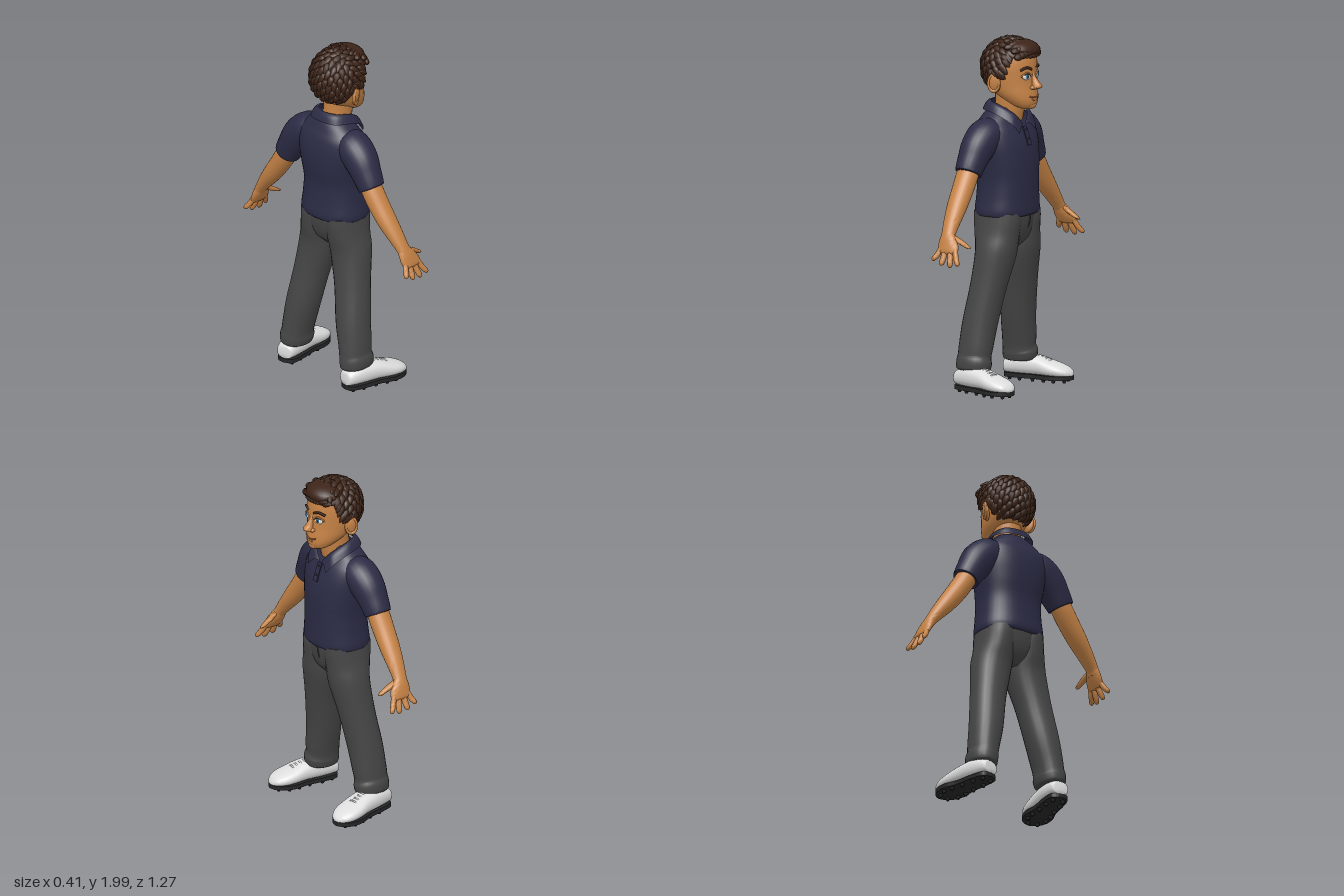
import * as THREE from 'three';
import { mergeGeometries, toCreasedNormals } from 'three/addons/utils/BufferGeometryUtils.js';
import { ParametricGeometry } from 'three/addons/geometries/ParametricGeometry.js';

const V = (x, y, z) => new THREE.Vector3(x, y, z);
const material = (name, color, side = THREE.FrontSide) =>
  Object.assign(new THREE.MeshStandardMaterial({ color, side }), { name });

// Smooth skin over oval rings [x, y, z, radiusAcross, radiusZ]; pow > 2 makes the rings boxier.
function loft(rings, { seg = 24, sub = 4, pow = 2 } = {}) {
  const path = new THREE.CatmullRomCurve3(rings.map(r => V(r[0], r[1], r[2])), false, 'catmullrom');
  const size = new THREE.CatmullRomCurve3(rings.map(r => V(r[3], r[4], 0)), false, 'catmullrom');
  const rows = (rings.length - 1) * sub, pos = [], idx = [];
  const sp = v => Math.sign(v) * Math.abs(v) ** (2 / pow);
  for (let i = 0; i <= rows; i++) {
    const p = path.getPoint(i / rows), s = size.getPoint(i / rows);
    const d = path.getTangent(i / rows).setZ(0).normalize();
    for (let j = 0; j < seg; j++) {
      const a = j / seg * Math.PI * 2, u = sp(Math.cos(a)) * s.x;
      pos.push(p.x + d.y * u, p.y - d.x * u, p.z + sp(Math.sin(a)) * s.y);
      if (i < rows) {
        const k = (j + 1) % seg, A = i * seg + j, B = i * seg + k;
        idx.push(A, A + seg, B, B, A + seg, B + seg);
      }
    }
  }
  // The winding rule is (along x around), so flip to face outward
  for (let i = 0; i < idx.length; i += 3) [idx[i + 1], idx[i + 2]] = [idx[i + 1], idx[i + 2]];
  const n = pos.length / 3, a = rings[0], b = rings[rings.length - 1];
  pos.push(a[0], a[1], a[2], b[0], b[1], b[2]);
  for (let j = 0; j < seg; j++) {
    const k = (j + 1) % seg, last = rows * seg;
    idx.push(n, j, k, n + 1, last + k, last + j);
  }
  const g = new THREE.BufferGeometry();
  g.setAttribute('position', new THREE.Float32BufferAttribute(pos, 3));
  g.setIndex(idx);
  return toCreasedNormals(g, 1.0);
}

export function createModel() {
  const skin = material('skin', 0xc68346), shirt = material('shirt navy', 0x2b2b45, THREE.DoubleSide);
  const trouser = material('trouser grey', 0x464646), white = material('shoe white', 0xdedede);
  const dark = material('sole black', 0x262628), hair = material('hair brown', 0x3d2418);
  const eyeWhite = material('eye white', 0xf2f0ec), blue = material('iris blue', 0x3f759c);
  const lip = material('lip', 0xa9633c);

  const model = new THREE.Group(), person = new THREE.Group();
  person.name = 'person';
  person.rotation.y = Math.PI / 2; // modelled facing +z, turned to face +x
  model.add(person);
  const add = (name, geo, mat, parent = person) => {
    const m = new THREE.Mesh(geo, mat);
    m.name = name;
    parent.add(m);
    return m;
  };
  const ball = (name, mat, p, r, rot = [0, 0, 0]) => {
    const m = add(name, new THREE.SphereGeometry(1, 20, 14), mat);
    m.position.set(...p); m.scale.set(...r); m.rotation.set(...rot);
    return m;
  };
  const tube = (name, mat, pts, r, parent) =>
    add(name, new THREE.TubeGeometry(new THREE.CatmullRomCurve3(pts.map(p => V(...p))), 14, r, 6), mat, parent);

  // Head and neck
  add('head', loft([[0, 1.594, .1, .03, .03], [0, 1.61, .09, .062, .058], [0, 1.64, .064, .09, .094],
    [0, 1.68, .03, .113, .125], [0, 1.73, .003, .126, .145], [0, 1.78, 0, .131, .146], [0, 1.84, 0, .132, .147],
    [0, 1.9, 0, .122, .138], [0, 1.95, 0, .09, .105], [0, 1.972, 0, .045, .05]], { seg: 36 }), skin);
  add('neck', loft([[0, 1.46, -.045, .08, .088], [0, 1.53, -.028, .078, .088], [0, 1.6, -.012, .077, .087],
    [0, 1.7, -.005, .085, .09]]), skin);
  add('nose', loft([[0, 1.708, .152, .02, .018], [0, 1.715, .165, .027, .026], [0, 1.73, .17, .024, .03],
    [0, 1.755, .153, .016, .024], [0, 1.79, .138, .012, .014], [0, 1.82, .132, .01, .01]], { seg: 16 }), skin);
  tube('mouth', lip, [[-.046, 1.672, .146], [-.025, 1.664, .154], [0, 1.661, .158], [.025, 1.664, .154], [.046, 1.672, .146]], .0045);
  ball('lowerLip', skin, [0, 1.652, .15], [.028, .009, .014]);
  ball('chin', skin, [0, 1.617, .128], [.034, .024, .028]);

  for (const s of [-1, 1]) {
    ball('nostril', skin, [s * .022, 1.718, .153], [.013, .011, .016]);
    ball('ear', skin, [s * .145, 1.742, -.018], [.017, .054, .034], [0, -s * .4, -s * .15]);
    const rim = add('earRim', new THREE.TorusGeometry(.03, .007, 8, 24), skin);
    rim.position.set(s * .153, 1.745, -.02);
    rim.scale.y = 1.5;
    rim.rotation.set(0, s * 1.15, 0);
    // Eyes and brows
    ball('eyeWhite', eyeWhite, [s * .053, 1.783, .133], [.027, .018, .009], [0, s * .33, 0]);
    ball('iris', blue, [s * .052, 1.784, .139], [.0125, .014, .006], [0, s * .3, 0]);
    ball('pupil', dark, [s * .052, 1.784, .143], [.006, .007, .004]);
    tube('eyelid', skin, [[s * .024, 1.786, .143], [s * .05, 1.804, .139], [s * .083, 1.786, .118]], .005);
    tube('lash', hair, [[s * .024, 1.782, .145], [s * .052, 1.799, .142], [s * .084, 1.781, .119]], .0025);
    tube('eyebrow', hair, [[s * .022, 1.822, .146], [s * .055, 1.834, .138], [s * .09, 1.82, .115]], .0075);
  }

  // Hair cap with a hairline that drops from forehead to nape
  const centre = V(0, 1.82, -.005), radii = V(.151, .164, .17);
  const step = THREE.MathUtils.smoothstep;
  const hairline = a => 1.08 + .75 * step(a, 1.05, 1.4) + .6 * step(a, 1.75, 2.15);
  const onScalp = (phi, theta, k = 1) => V(Math.sin(theta) * Math.sin(phi), Math.cos(theta), Math.sin(theta) * Math.cos(phi))
    .multiplyScalar(k).multiply(radii).add(centre);
  add('hairCap', new ParametricGeometry((u, v, t) => {
    const phi = Math.PI - u * 2 * Math.PI, w = Math.min(1, v / .95);
    t.copy(onScalp(phi, .01 + w * hairline(Math.abs(phi)), v > .96 ? .84 : 1));
  }, 48, 20), hair);
  ball('quiffBase', hair, [.008, 1.925, .065], [.112, .055, .092], [.05, 0, -.06]);

  // Tapered locks lying along the scalp
  let seed = 7;
  const rnd = () => (seed = (seed * 16807) % 2147483647) / 2147483647;
  const locks = [];
  const lock = (p, n, flow, w, h, l) => {
    const g = new THREE.SphereGeometry(1, 8, 7).rotateX(Math.PI / 2), q = g.attributes.position;
    for (let i = 0; i < q.count; i++) {
      const z = q.getZ(i), k = 1 - .45 * z;
      q.setXYZ(i, q.getX(i) * k * w, q.getY(i) * k * h + .3 * h * z, z * l);
    }
    const f = flow.clone().addScaledVector(n, -flow.dot(n)).normalize();
    const m = new THREE.Matrix4().makeBasis(n.clone().cross(f), n, f).setPosition(p);
    g.applyMatrix4(m);
    g.computeVertexNormals();
    locks.push(g);
  };
  for (let i = 0; i < 190; i++) {
    const phi = i * 2.39996 % (2 * Math.PI) - Math.PI, limit = hairline(Math.abs(phi)) - .1;
    const theta = Math.min(limit, Math.acos(1 - 1.8 * (i + .5) / 190));
    const p = onScalp(phi, theta, .985), n = p.clone().sub(centre).divide(radii).divide(radii).normalize();
    const flow = V(n.x * .3 + .35 + (rnd() - .5) * .5, -.9, n.z < -.2 ? -.1 : .8);
    lock(p, n, flow, .019, .012 + rnd() * .004, .034);
  }
  for (let i = 0; i < 27; i++) {
    const x = -.09 + (i % 9) * .0235, row = Math.floor(i / 9);
    const p = V(x, [1.918, 1.948, 1.966][row] - x * x * 2.2, [.135, .115, .07][row] - x * x * 2.5);
    lock(p, V(x * 3, .45 + row * .5, .9 - row * .3).normalize(), V(.7, .35 - row * .3, .4 + rnd() * .3), .019, .016, .036);
  }
  add('hairLocks', mergeGeometries(locks), hair);

  // Polo shirt
  add('shirtBody', loft([[0, .992, -.03, .185, .148], [0, 1.0, -.03, .197, .157], [0, 1.03, -.03, .199, .16],
    [0, 1.1, -.027, .191, .156], [0, 1.2, -.025, .187, .154], [0, 1.3, -.033, .199, .16], [0, 1.4, -.042, .212, .155],
    [0, 1.48, -.05, .208, .134], [0, 1.53, -.054, .172, .106], [0, 1.57, -.05, .12, .09], [0, 1.6, -.035, .085, .078]],
    { seg: 40, pow: 2.3 }), shirt);
  const front = [[.006, 1.5, .082], [.06, 1.565, .06], [.088, 1.612, -.02], [.07, 1.628, -.09], [0, 1.63, -.115]];
  const outer = [[.08, 1.462, .108], [.115, 1.52, .07], [.137, 1.57, -.025], [.098, 1.582, -.128], [0, 1.582, -.152]];
  const whole = pts => new THREE.CatmullRomCurve3([...pts.map(p => V(...p)),
    ...pts.slice(0, -1).reverse().map(([x, y, z]) => V(-x, y, z))], false, 'catmullrom');
  const top = whole(front), edge = whole(outer);
  add('collar', new ParametricGeometry((u, v, t) => {
    t.lerpVectors(top.getPoint(u), edge.getPoint(u), v);
    t.y += .02 * Math.sin(v * Math.PI);
  }, 40, 5), shirt);
  const placket = add('placket', new THREE.BoxGeometry(.034, .11, .008), shirt);
  placket.position.set(0, 1.44, .102);
  placket.rotation.x = -.34;
  for (const y of [1.475, 1.425]) ball('button', dark, [0, y, .107 - (y - 1.44) * .35], [.006, .006, .004]);

  // Trouser hips
  add('trouserHips', loft([[0, .815, -.025, .05, .07], [0, .86, -.028, .15, .11], [0, .93, -.03, .192, .134],
    [0, 1.02, -.03, .192, .147]], { pow: 2.2 }), trouser);
  tube('fly', trouser, [[.012, 1.0, .116], [.014, .94, .106], [0, .885, .084]], .004);

  for (const s of [-1, 1]) {
    const limb = (name, rings, mat, opt) => add(name, loft(rings.map(([x, ...r]) => [x * s, ...r]), opt), mat);
    limb('sleeve', [[.1, 1.475, -.055, .07, .085], [.17, 1.452, -.06, .096, .1], [.235, 1.395, -.066, .1, .096],
      [.285, 1.325, -.072, .086, .084], [.322, 1.262, -.075, .076, .075], [.325, 1.257, -.075, .068, .068]], shirt);
    limb('arm', [[.28, 1.33, -.075, .055, .06], [.335, 1.24, -.076, .058, .064], [.385, 1.165, -.074, .057, .062],
      [.445, 1.085, -.07, .052, .058], [.505, 1.01, -.063, .041, .049], [.553, .945, -.055, .03, .042],
      [.567, .918, -.045, .028, .052]], skin);
    limb('palm', [[.55, .95, -.054, .028, .04], [.567, .92, -.044, .028, .055], [.583, .885, -.034, .024, .066],
      [.597, .855, -.03, .018, .062], [.602, .845, -.03, .008, .045]], skin);
    // Four spread fingers: [root z, tip z, tip height]
    for (const [a, b, y] of [[-.078, -.102, .806], [-.047, -.053, .784], [-.014, .002, .778], [.014, .05, .79]])
      limb('finger', [[.59, .874, a, .014, .016], [.607, (.874 + y) / 2, (a + b) / 2, .015, .0175],
        [.624, y + .012, b, .013, .0155], [.629, y, b + (b - a) * .1, .006, .007]], skin, { seg: 12 });
    limb('thumb', [[.56, .942, -.03, .02, .026], [.553, .918, .015, .019, .028], [.549, .897, .052, .016, .024],
      [.547, .884, .074, .012, .016], [.546, .879, .08, .005, .007]], skin, { seg: 12 });

    limb('trouserLeg', [[.234, .128, -.1, .07, .09], [.233, .138, -.1, .079, .1], [.23, .175, -.098, .084, .103],
      [.224, .205, -.1, .08, .097], [.216, .26, -.095, .084, .098], [.19, .4, -.083, .094, .099],
      [.155, .6, -.052, .1, .101], [.12, .78, -.027, .112, .115], [.104, .88, -.03, .104, .13],
      [.096, .96, -.03, .1, .142], [.094, 1.01, -.03, .097, .143]], trouser, { pow: 2.15 });
    tube('pocketSeam', trouser, [[s * .115, 1.0, .095], [s * .15, .955, .068], [s * .19, .925, .015]], .004);

    // Shoe with spiked sole, toes turned out
    const shoe = new THREE.Group();
    shoe.name = s > 0 ? 'leftShoe' : 'rightShoe';
    shoe.position.x = s * .272;
    shoe.rotation.y = s * .18;
    person.add(shoe);
    add('shoeUpper', loft([[0, -.203, -.075, .03, .024], [0, -.19, -.085, .052, .042], [0, -.1, -.096, .068, .057],
      [0, 0, -.093, .073, .054], [0, .08, -.079, .081, .043], [0, .14, -.069, .075, .034], [0, .185, -.06, .05, .022],
      [0, .205, -.052, .018, .009]], { pow: 2.4 }).rotateX(Math.PI / 2), white, shoe);
    const outline = new THREE.Shape();
    outline.moveTo(0, -.207);
    outline.splineThru([[.05, -.185], [.064, -.1], [.066, 0], [.083, .09], [.062, .17], [0, .208],
      [-.062, .17], [-.083, .09], [-.066, 0], [-.064, -.1], [-.05, -.185], [0, -.207]].map(p => new THREE.Vector2(...p)));
    const sole = new THREE.ExtrudeGeometry(outline, { depth: .024, bevelEnabled: false, curveSegments: 48 });
    add('sole', toCreasedNormals(sole.rotateX(Math.PI / 2), .7), dark, shoe).position.y = .046;
    for (const [x, z] of [[.03, -.165], [.042, -.1], [.045, -.02], [.055, .05], [.055, .11], [.028, .165]])
      for (const side of [-1, 1])
        add('spike', new THREE.CylinderGeometry(.015, .008, .02, 10), dark, shoe).position.set(x * side, .015, z);
    for (let i = 0; i < 4; i++) {
      const z = -.005 + i * .025, y = .148 - i * .0065;
      tube('lace', white, [[-.034, y - .012, z], [0, y, z], [.034, y - .012, z]], .005, shoe);
    }
  }
  return model;
}
